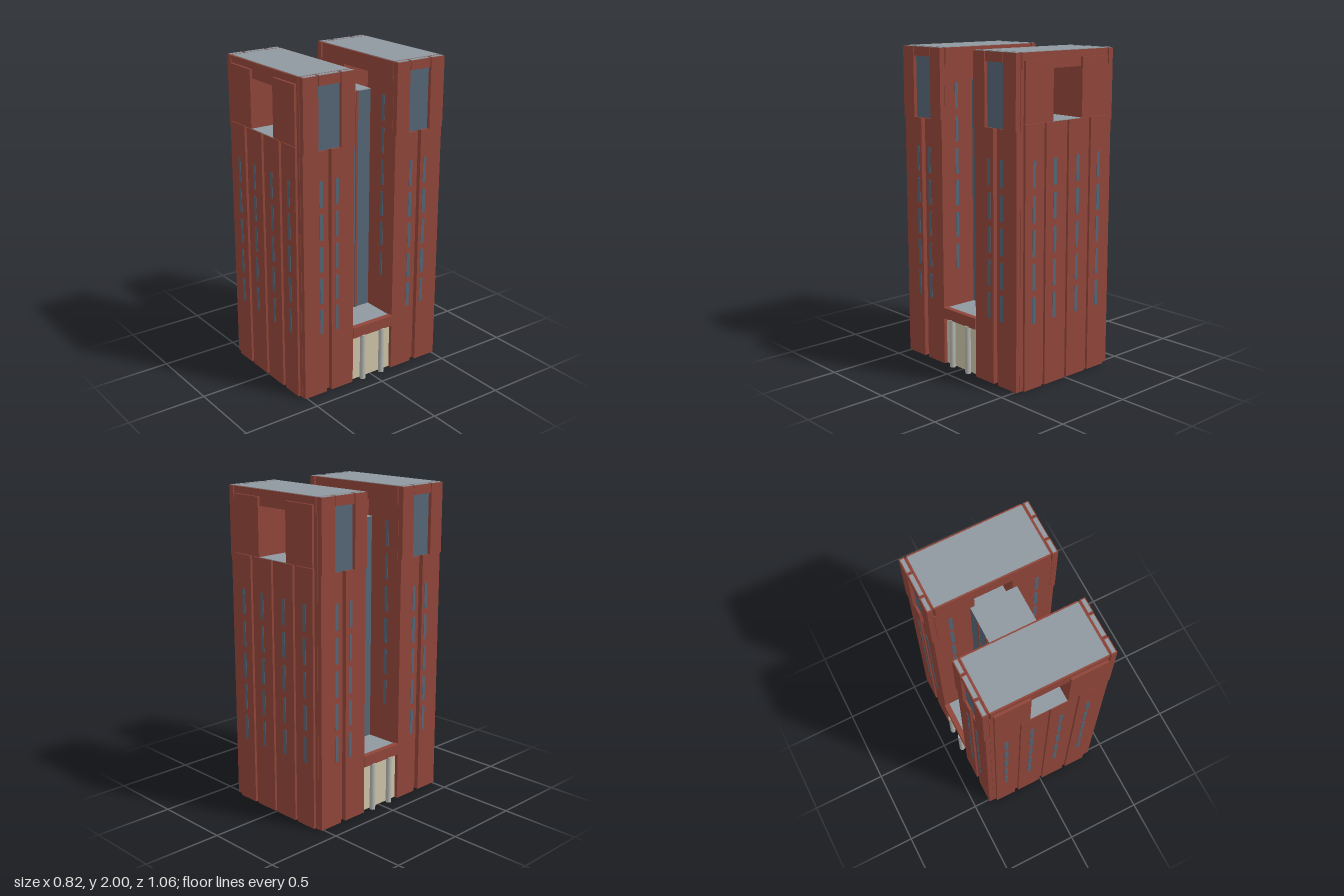
import * as THREE from 'three';

const mat = (name, color) => {
  const m = new THREE.MeshStandardMaterial({ color });
  m.name = name;
  return m;
};

export function createModel() {
  const brick = mat('brick red', 0x8f4539);
  const glass = mat('blue glass', 0x546575);
  const roofGrey = mat('roof grey', 0x8f989f);
  const beige = mat('beige stone', 0xcbc1a5);
  const columnGrey = mat('column grey', 0xb4b4b0);

  // Box given by its limits on each axis
  function box(parent, name, material, [x0, x1], [y0, y1], [z0, z1]) {
    const mesh = new THREE.Mesh(new THREE.BoxGeometry(x1 - x0, y1 - y0, z1 - z0), material);
    mesh.position.set((x0 + x1) / 2, (y0 + y1) / 2, (z0 + z1) / 2);
    mesh.name = name;
    parent.add(mesh);
  }
  // The same box on the left and on the right
  function pair(parent, name, material, [x0, x1], y, z) {
    box(parent, name, material, [x0, x1], y, z);
    box(parent, name, material, [-x1, -x0], y, z);
  }
  const slitRows = (first, count) =>
    Array.from({ length: count }, (_, i) => [first + i * 0.203, first + i * 0.203 + 0.16]);

  function createTower(name) {
    const tower = new THREE.Group();
    tower.name = name;
    const inner = 0.153, outer = 0.515;

    // Hollow shaft, open underneath
    box(tower, 'outerWall', brick, [-0.365, 0.365], [0, 1.595], [0.5, outer]);
    box(tower, 'innerWall', brick, [-0.365, 0.365], [0.36, 1.595], [inner, 0.168]);
    pair(tower, 'sideWall', brick, [0.35, 0.365], [0, 1.595], [inner, 0.5]);

    // Upper storey with a passage through the middle
    box(tower, 'passageSlab', brick, [-0.35, 0.35], [1.57, 1.59], [0.168, 0.5]);
    box(tower, 'passageFloor', roofGrey, [-0.12, 0.12], [1.592, 1.598], [inner, outer + 0.01]);
    pair(tower, 'upperBlock', brick, [0.12, 0.365], [1.595, 1.902], [inner, outer]);
    pair(tower, 'upperPanel', brick, [0.12, 0.342], [1.598, 1.955], [outer, 0.53]);

    // Roof slab with clipped corners
    const x = 0.365, c = 0.012;
    const outline = new THREE.Shape([
      [-x + c, inner], [x - c, inner], [x, inner + c], [x, outer - c],
      [x - c, outer], [-x + c, outer], [-x, outer - c], [-x, inner + c],
    ].map(([px, pz]) => new THREE.Vector2(px, -pz)));
    const slabGeometry = new THREE.ExtrudeGeometry(outline, { depth: 0.097, bevelEnabled: false });
    slabGeometry.rotateX(-Math.PI / 2);
    const slab = new THREE.Mesh(slabGeometry, brick);
    slab.position.y = 1.9;
    slab.name = 'roofSlab';
    tower.add(slab);
    box(tower, 'roofCover', roofGrey, [-0.356, 0.356], [1.994, 2], [inner + 0.01, outer - 0.01]);

    // Tall facade panels with window slits
    for (const [x0, x1] of [[-0.342, -0.2], [-0.175, -0.012], [0.012, 0.175], [0.2, 0.342]])
      box(tower, 'facadePanel', brick, [x0, x1], [0, 1.595], [outer, 0.53]);
    for (const y of slitRows(0.41, 5))
      for (const sx of [-0.27, -0.1, 0.09, 0.27])
        box(tower, 'facadeSlit', glass, [sx - 0.012, sx + 0.012], y, [0.528, 0.532]);

    // Slits facing the courtyard
    for (const y of slitRows(0.61, 6))
      pair(tower, 'courtSlit', glass, [0.263, 0.287], y, [inner - 0.002, inner + 0.002]);

    // Side panels with slits
    for (const z of [[inner, 0.315], [0.353, 0.513]])
      pair(tower, 'sidePanel', brick, [0.365, 0.394], [0, 1.56], z);
    for (const y of slitRows(0.41, 5))
      for (const sz of [0.277, 0.388])
        pair(tower, 'sideSlit', glass, [0.392, 0.396], y, [sz - 0.012, sz + 0.012]);

    // Side bays of the upper storey: two piers, a header and a tall window
    for (const [z0, z1] of [[inner, 0.25], [0.41, 0.513]]) {
      pair(tower, 'bayPier', brick, [0.367, 0.402], [1.56, 1.997], [z0, z1]);
      pair(tower, 'pierCap', roofGrey, [0.374, 0.396], [1.995, 2], [z0 + 0.008, z1 - 0.008]);
    }
    pair(tower, 'bayHeader', brick, [0.365, 0.4], [1.94, 1.997], [0.256, 0.404]);
    pair(tower, 'headerCap', roofGrey, [0.371, 0.395], [1.995, 2], [0.262, 0.398]);
    pair(tower, 'bayBack', brick, [0.36, 0.372], [1.56, 1.94], [0.25, 0.41]);
    pair(tower, 'bayWindow', glass, [0.372, 0.38], [1.56, 1.94], [0.25, 0.41]);
    return tower;
  }

  const model = new THREE.Group();
  model.name = 'twinTowerBuilding';
  const backTower = createTower('backTower');
  backTower.rotation.y = Math.PI;
  model.add(createTower('frontTower'), backTower);

  // Glazed core joining the towers
  const court = new THREE.Group();
  court.name = 'linkBlock';
  model.add(court);
  box(court, 'glassCore', glass, [-0.148, 0.148], [0, 1.795], [-0.153, 0.153]);
  box(court, 'coreRoof', roofGrey, [-0.148, 0.148], [1.795, 1.8], [-0.153, 0.153]);
  for (const z of [-0.05, 0.05])
    pair(court, 'coreMullion', brick, [0.146, 0.153], [0.37, 1.8], [z - 0.008, z + 0.008]);

  // Entrance base, deck, lintels and columns
  box(court, 'entranceBase', beige, [-0.372, 0.372], [0.002, 0.36], [-0.1525, 0.1525]);
  box(court, 'courtDeck', roofGrey, [-0.366, 0.366], [0.36, 0.369], [-0.1525, 0.1525]);
  pair(court, 'entranceLintel', brick, [0.365, 0.4], [0.305, 0.375], [-0.1525, 0.1525]);
  for (const x of [-0.392, 0.392])
    for (const z of [-0.074, 0.074]) {
      const column = new THREE.Mesh(new THREE.CylinderGeometry(0.018, 0.018, 0.308, 20), columnGrey);
      column.position.set(x, 0.154, z);
      column.name = 'entranceColumn';
      court.add(column);
    }
  return model;
}
